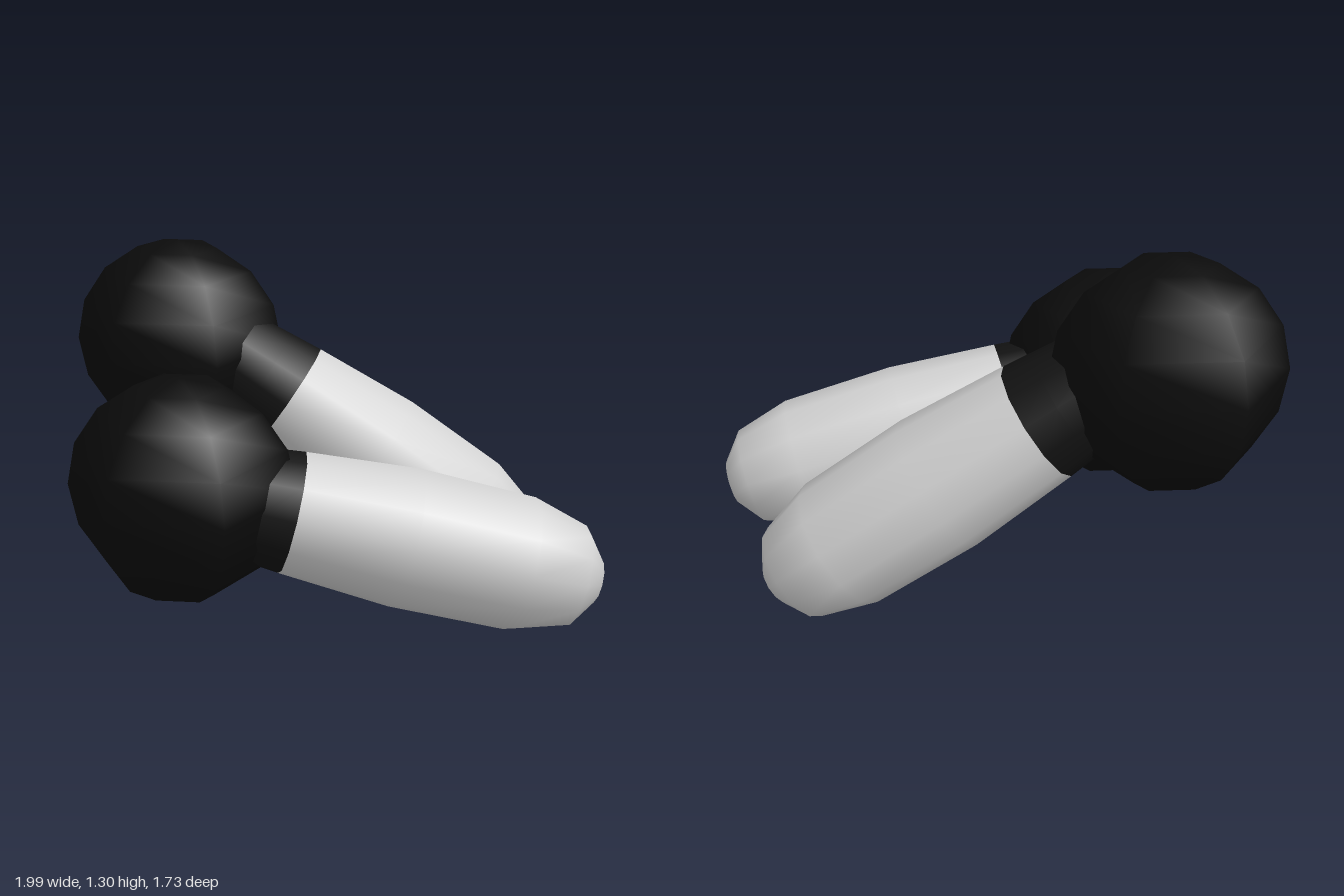
import * as THREE from 'three';

const black = new THREE.MeshStandardMaterial({ color: 0x0b0b0b });
black.name = 'black';
const charcoal = new THREE.MeshStandardMaterial({ color: 0x121212 });
charcoal.name = 'charcoal';
const paleGrey = new THREE.MeshStandardMaterial({ color: 0xd2d2d2 });
paleGrey.name = 'pale grey';

// Turned part along +y from [radius, height] pairs
function turned(profile, material, name) {
  const points = profile.map(([r, y]) => new THREE.Vector2(r, y));
  const mesh = new THREE.Mesh(new THREE.LatheGeometry(points, 12), material);
  mesh.name = name;
  return mesh;
}

// One shaker: six-sided ball, dark collar and rounded handle
function createShaker(name, ballCentre, joint, direction) {
  const shaker = new THREE.Group();
  shaker.name = name;

  // Ball, its poles leaning slightly to the front and left
  const sphere = new THREE.SphereGeometry(0.39, 6, 8);
  sphere.rotateY(Math.PI / 2);
  sphere.rotateX(0.09);
  sphere.rotateZ(-0.07);
  const ball = new THREE.Mesh(sphere, black);
  ball.name = 'ball';
  ball.position.set(...ballCentre);
  shaker.add(ball);

  // Grip, with its origin where the collar meets the handle
  const grip = new THREE.Group();
  grip.name = 'grip';
  grip.add(turned([[0.18, -0.3], [0.2, -0.12], [0.213, 0]], charcoal, 'collar'));
  grip.add(turned(
    [[0.213, 0], [0.245, 0.4], [0.237, 0.81], [0.18, 1.01], [0.08, 1.09], [0, 1.105]],
    paleGrey, 'handle'));
  grip.position.set(...joint);
  grip.quaternion.setFromUnitVectors(
    new THREE.Vector3(0, 1, 0), new THREE.Vector3(...direction).normalize());
  shaker.add(grip);
  return shaker;
}

export function createModel() {
  const model = new THREE.Group();
  model.name = 'pairOfShakers';
  model.add(createShaker('rearShaker',
    [-0.663, 0.92, -0.09], [-0.28, 0.722, -0.268], [0.70, -0.565, -0.435]));
  model.add(createShaker('frontShaker',
    [-0.195, 0.545, 0.478], [0.1, 0.453, 0.252], [0.767, -0.243, -0.594]));
  return model;
}
